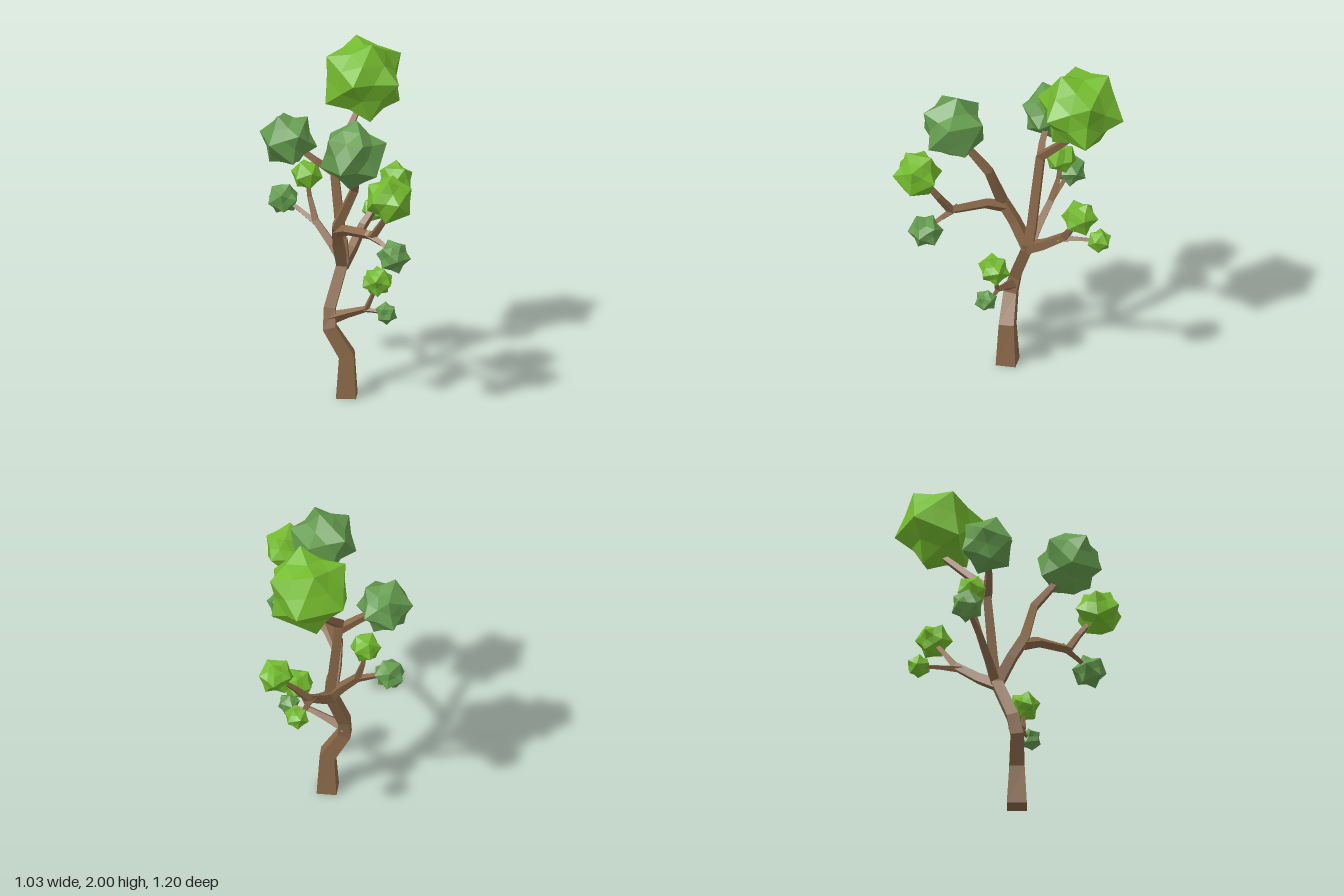
import * as THREE from 'three';

const material = (color) =>
  new THREE.MeshStandardMaterial({ color, flatShading: true, roughness: 1 });
const V = (a) => new THREE.Vector3(a[0], a[1], a[2]);

// Tapered four-sided limb through points [x, y, z, radius]
function limbGeometry(points) {
  const sides = 4;
  const centres = points.map(V);
  const last = points.length - 1;
  const u = new THREE.Vector3(1, 0, 0.2);
  const rings = points.map((p, i) => {
    const t = new THREE.Vector3();
    if (i > 0) t.add(centres[i].clone().sub(centres[i - 1]).normalize());
    if (i < last) t.add(centres[i + 1].clone().sub(centres[i]).normalize());
    t.normalize();
    if (i === 0 && p[1] === 0) t.set(0, 1, 0);
    u.addScaledVector(t, -u.dot(t)).normalize();
    const v = t.clone().cross(u);
    return Array.from({ length: sides }, (_, j) => {
      const a = (j / sides) * Math.PI * 2;
      return centres[i].clone()
        .addScaledVector(u, p[3] * Math.cos(a))
        .addScaledVector(v, p[3] * Math.sin(a));
    });
  });
  const tris = [];
  for (let j = 0; j < sides; j++) {
    const k = (j + 1) % sides;
    for (let i = 0; i < last; i++) {
      const [a, b, c, d] = [rings[i][j], rings[i][k], rings[i + 1][k], rings[i + 1][j]];
      tris.push(a, b, c, a, c, d);
    }
    tris.push(centres[0], rings[0][k], rings[0][j]);
    tris.push(centres[last], rings[last][j], rings[last][k]);
  }
  const g = new THREE.BufferGeometry().setFromPoints(tris);
  g.computeVertexNormals();
  return g;
}

// Faceted leaf ball: twelve outer points with uneven dents between them
function leafGeometry(radius, seed) {
  const g = new THREE.IcosahedronGeometry(1, 1);
  const pos = g.attributes.position;
  const p = new THREE.Vector3();
  for (let i = 0; i < pos.count; i++) {
    p.fromBufferAttribute(pos, i);
    const isPoint = Math.abs(Math.max(Math.abs(p.x), Math.abs(p.y), Math.abs(p.z)) - 0.8507) < 0.01;
    const [x, y, z] = [p.x, p.y, p.z].map((c) => Math.round(c * 10));
    const noise = 0.5 + 0.5 * Math.sin(x * 12.9 + y * 78.2 + z * 37.7 + seed * 5.1);
    p.multiplyScalar(radius * (isPoint ? 1 : 0.73 + 0.12 * noise));
    pos.setXYZ(i, p.x, p.y, p.z);
  }
  g.computeVertexNormals();
  return g;
}

// Rotation frame from two neighbouring point directions of a leaf ball
function frame(tip, side) {
  const x = V(tip).normalize();
  const y = V(side).addScaledVector(x, -V(side).dot(x)).normalize();
  return new THREE.Matrix4().makeBasis(x, y, x.clone().cross(y));
}

export function createModel() {
  const tree = new THREE.Group();
  tree.name = 'tree';
  const bark = material(0x8a6848);
  const bright = material(0x74bb2e);
  const dark = material(0x649c4e);

  // Trunk and branches
  const limbs = {
    trunk: [[-0.125, 0, -0.03, 0.081], [-0.125, 0.25, -0.03, 0.062], [-0.18, 0.41, -0.11, 0.053],
      [-0.16, 0.52, -0.125, 0.046], [-0.04, 0.78, -0.12, 0.044], [-0.035, 0.9, -0.13, 0.035]],
    upperTrunk: [[-0.04, 0.76, -0.12, 0.038], [-0.035, 1.05, -0.16, 0.036], [-0.03, 1.33, -0.2, 0.034],
      [0.08, 1.43, -0.22, 0.026], [0.24, 1.58, -0.24, 0.02]],
    upperBackBranch: [[-0.03, 1.28, -0.19, 0.032], [-0.1, 1.36, -0.28, 0.026], [-0.17, 1.46, -0.4, 0.02]],
    leftBranch: [[-0.05, 0.75, -0.12, 0.043], [-0.13, 0.91, -0.09, 0.04], [-0.19, 1.03, -0.05, 0.038],
      [-0.175, 1.28, 0.07, 0.03], [-0.28, 1.45, 0.16, 0.022]],
    leftFrontBranch: [[-0.18, 1.0, -0.05, 0.037], [-0.22, 1.04, 0.05, 0.031], [-0.27, 1.07, 0.28, 0.028],
      [-0.28, 1.19, 0.37, 0.021], [-0.35, 1.33, 0.45, 0.015]],
    leftFrontTwig: [[-0.265, 1.07, 0.23, 0.027], [-0.28, 1.04, 0.35, 0.018], [-0.3, 1.0, 0.44, 0.014]],
    rightBranch: [[-0.05, 0.75, -0.12, 0.042], [0.06, 0.81, -0.14, 0.035], [0.2, 0.91, -0.17, 0.029],
      [0.29, 1.02, -0.14, 0.02], [0.39, 1.13, -0.1, 0.014]],
    rightTwig: [[0.16, 0.885, -0.16, 0.026], [0.28, 0.91, -0.21, 0.016], [0.39, 0.93, -0.25, 0.012]],
    backBranch: [[-0.04, 0.76, -0.12, 0.038], [-0.05, 0.86, -0.2, 0.031], [-0.06, 0.98, -0.31, 0.026],
      [-0.05, 1.11, -0.36, 0.018], [-0.05, 1.23, -0.38, 0.014]],
    backTwig: [[-0.06, 0.96, -0.29, 0.023], [-0.08, 1.03, -0.41, 0.017], [-0.1, 1.08, -0.5, 0.013]],
    lowBranch: [[-0.17, 0.46, -0.12, 0.04], [-0.13, 0.5, -0.02, 0.026], [-0.09, 0.54, 0.085, 0.019],
      [-0.075, 0.61, 0.11, 0.014], [-0.06, 0.69, 0.14, 0.011]],
    lowTwig: [[-0.095, 0.535, 0.07, 0.017], [-0.07, 0.53, 0.13, 0.012], [-0.06, 0.53, 0.19, 0.01]],
  };
  for (const [name, points] of Object.entries(limbs)) {
    const mesh = new THREE.Mesh(limbGeometry(points), bark);
    mesh.name = name;
    tree.add(mesh);
  }

  // Leaf balls: name, x, y, z, radius, colour, optional pair of point directions
  const leaves = [
    ['crownLeaves', 0.27, 1.763, -0.225, 0.264, bright, [-0.19, 0.9, 0.4], [0, 0, 1]],
    ['leftLeaves', -0.34, 1.555, 0.19, 0.204, dark, [0.15, 0.99, 0], [-0.78, 0.57, -0.3]],
    ['leftFrontLeaves', -0.355, 1.35, 0.462, 0.147, bright],
    ['upperBackLeaves', -0.178, 1.48, -0.412, 0.172, dark],
    ['leftLowerLeaves', -0.3, 0.99, 0.45, 0.103, dark],
    ['rightLeaves', 0.4, 1.15, -0.095, 0.109, bright],
    ['rightLowerLeaves', 0.4, 0.935, -0.25, 0.073, bright],
    ['backLeaves', -0.05, 1.24, -0.38, 0.094, bright],
    ['backLowerLeaves', -0.105, 1.08, -0.51, 0.098, dark],
    ['lowLeaves', -0.06, 0.708, 0.14, 0.097, bright],
    ['lowSmallLeaves', -0.06, 0.53, 0.205, 0.068, dark],
  ];
  const modelFrame = frame([-1, 1.618, 0], [1, 1.618, 0]).transpose();
  leaves.forEach(([name, x, y, z, radius, mat, tip, side], i) => {
    const mesh = new THREE.Mesh(leafGeometry(radius, i), mat);
    mesh.name = name;
    mesh.position.set(x, y, z);
    if (tip) mesh.quaternion.setFromRotationMatrix(frame(tip, side).multiply(modelFrame));
    else mesh.rotation.set(i * 1.3 + 0.4, i * 2.1, i * 0.7);
    tree.add(mesh);
  });

  return tree;
}
